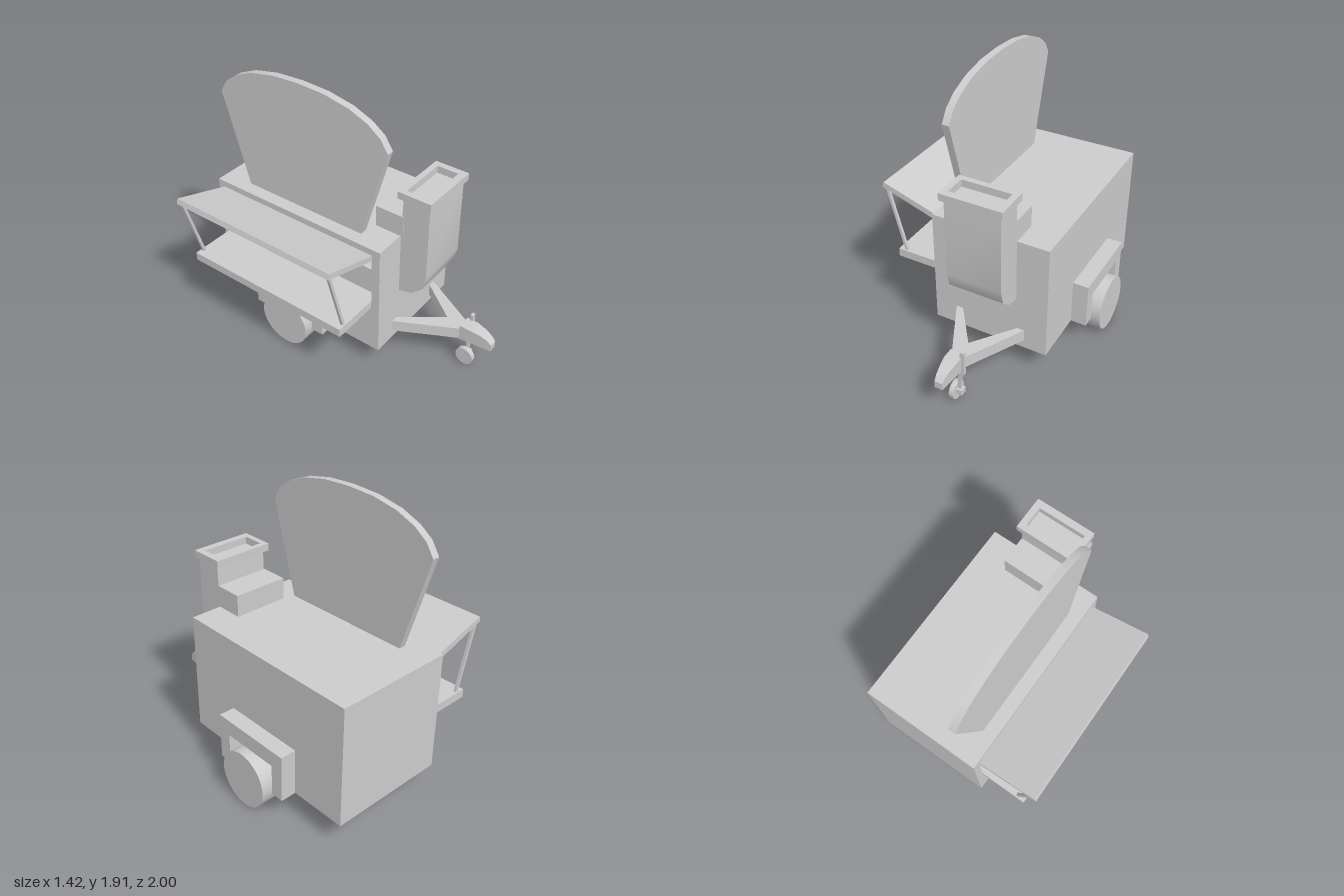
import * as THREE from 'three';
import { toCreasedNormals } from 'three/addons/utils/BufferGeometryUtils.js';

const grey = new THREE.MeshStandardMaterial({ color: 0xcccccc, side: THREE.DoubleSide });
grey.name = 'plain grey';
const MID = 0.125; // the trailer's own centre line in x

const shapeOf = (pts) => new THREE.Shape(pts.map(([a, b]) => new THREE.Vector2(a, b)));
const extrude = (shape, depth) => new THREE.ExtrudeGeometry(shape, { depth, bevelEnabled: false });

// (z, y) profile swept from x0 to x1
const sideProfile = (shape, x0, x1) =>
  extrude(shape, x1 - x0).rotateY(-Math.PI / 2).translate(x1, 0, 0);
// (x, y) profile swept from z0 to z1
const frontProfile = (shape, z0, z1) => extrude(shape, z1 - z0).translate(0, 0, z0);
// (x, z) profile swept from y0 to y1
const planProfile = (shape, y0, y1) =>
  extrude(shape, y1 - y0).rotateX(Math.PI / 2).translate(0, y1, 0);

const rect = (a0, b0, a1, b1) => [[a0, b0], [a1, b0], [a1, b1], [a0, b1]];

export function createModel() {
  const model = new THREE.Group();
  const add = (name, geometry) => {
    const mesh = new THREE.Mesh(geometry, grey);
    mesh.name = name;
    model.add(mesh);
    return mesh;
  };
  const box = (name, x0, x1, y0, y1, z0, z1) =>
    add(name, new THREE.BoxGeometry(x1 - x0, y1 - y0, z1 - z0)
      .translate((x0 + x1) / 2, (y0 + y1) / 2, (z0 + z1) / 2));
  const wheel = (name, x0, x1, y, z, r) =>
    add(name, new THREE.CylinderGeometry(r, r, x1 - x0, 40)
      .rotateZ(Math.PI / 2).translate((x0 + x1) / 2, y, z));

  // Hollow body, open underneath
  const t = 0.01;
  box('roof', -0.29, 0.54, 1.01 - t, 1.01, -1, 0.37);
  box('frontWall', -0.29, 0.54, 0.18, 1.01 - t, 0.37 - t, 0.37);
  box('backWall', -0.29, 0.54, 0.18, 1.01 - t, -1, -1 + t);
  box('closedSideWall', 0.54 - t, 0.54, 0.18, 1.01 - t, -1 + t, 0.37 - t);
  const hatchWall = shapeOf(rect(-1 + t, 0.18, 0.37 - t, 1.01 - t));
  hatchWall.holes.push(shapeOf(rect(-0.95, 0.53, 0.31, 0.93)));
  add('hatchWall', sideProfile(hatchWall, -0.29, -0.29 + t));

  // Serving hatch: counter, raised awning and its struts
  box('counter', -0.62, -0.09, 0.53, 0.59, -0.95, 0.31);
  box('counterCabinet', -0.22, -0.09, 0.59, 0.78, -0.07, 0.31);
  const awning = shapeOf([[-0.29, 0.92], [-0.29, 0.965], [-0.703, 1.095], [-0.715, 1.058]]);
  add('awning', frontProfile(awning, -0.95, 0.31));
  const strut = shapeOf([[-0.575, 0.59], [-0.555, 0.59], [-0.68, 1.055], [-0.70, 1.06]]);
  for (const z of [-0.93, 0.29]) add('awningStrut', frontProfile(strut, z - 0.01, z + 0.01));

  // Fan-shaped sign board on the roof, symmetric about z = -0.31
  const half = [[0.47, 1.01], [0.66, 1.66], [0.605, 1.745], [0.515, 1.81], [0.38, 1.865], [0.20, 1.9]];
  const fan = [
    ...half.map(([d, y]) => [-0.31 + d, y]),
    [-0.31, 1.91],
    ...half.slice().reverse().map(([d, y]) => [-0.31 - d, y]),
  ];
  add('signBoard', toCreasedNormals(sideProfile(shapeOf(fan), -0.20, -0.15), 0.6));

  // Chimney with curved foot, roof elbow and hollow cap
  const flue = [[0.37, 0.56], [0.47, 0.585], [0.545, 0.655], [0.57, 0.755], [0.57, 1.30], [0.38, 1.30], [0.37, 1.0]];
  add('chimney', toCreasedNormals(sideProfile(shapeOf(flue), -0.065, 0.32), 0.7));
  box('chimneyElbow', -0.07, 0.32, 1.01, 1.16, 0.18, 0.39);
  const cap = shapeOf(rect(-0.09, 0.35, 0.34, 0.59));
  cap.holes.push(shapeOf(rect(-0.05, 0.39, 0.295, 0.54)));
  add('chimneyCap', planProfile(cap, 1.30, 1.35));

  // Wheels and arches, mirrored about the centre line
  const arch = shapeOf([
    [-0.61, 0.18], [-0.52, 0.18], [-0.52, 0.395], [-0.11, 0.395],
    [-0.11, 0.18], [-0.02, 0.18], [-0.02, 0.505], [-0.61, 0.505],
  ]);
  for (const s of [1, -1]) {
    const span = (a, b) => [MID + s * a, MID + s * b].sort((p, q) => p - q);
    add('wheelArch', sideProfile(arch, ...span(0.415, 0.525)));
    wheel('roadWheel', ...span(0.415, 0.585), 0.195, -0.31, 0.192);
  }

  // Tow frame: two arms meeting at the coupler
  for (const s of [1, -1]) {
    const arm = [[0.255, 0.37], [0.045, 0.77], [0, 0.77], [0, 0.645], [0.205, 0.37]];
    add('towArm', planProfile(shapeOf(arm.map(([d, z]) => [MID + s * d, z])), 0.24, 0.325));
  }
  const coupler = sideProfile(shapeOf([
    [0.77, 0.24], [1.0, 0.24], [1.0, 0.29], [0.97, 0.32], [0.92, 0.342], [0.85, 0.355], [0.77, 0.355],
  ]), 0.075, 0.175);
  // narrow the coupler towards its nose
  const p = coupler.attributes.position;
  for (let i = 0; i < p.count; i++) {
    const k = 1 - 0.45 * Math.max(0, (p.getZ(i) - 0.85) / 0.15);
    p.setX(i, MID + (p.getX(i) - MID) * k);
  }
  add('coupler', toCreasedNormals(coupler, 0.6));

  // Jockey wheel on its cranked leg
  wheel('jockeyWheel', 0.108, 0.142, 0.065, 0.805, 0.065);
  const leg = shapeOf([
    [0.165, 0.40], [0.165, 0.24], [0.145, 0.18], [0.145, 0.06],
    [0.165, 0.06], [0.168, 0.175], [0.195, 0.225], [0.195, 0.40],
  ]);
  add('jockeyLeg', frontProfile(leg, 0.795, 0.815));
  box('jockeyHub', 0.14, 0.18, 0.05, 0.09, 0.78, 0.83);

  return model;
}
